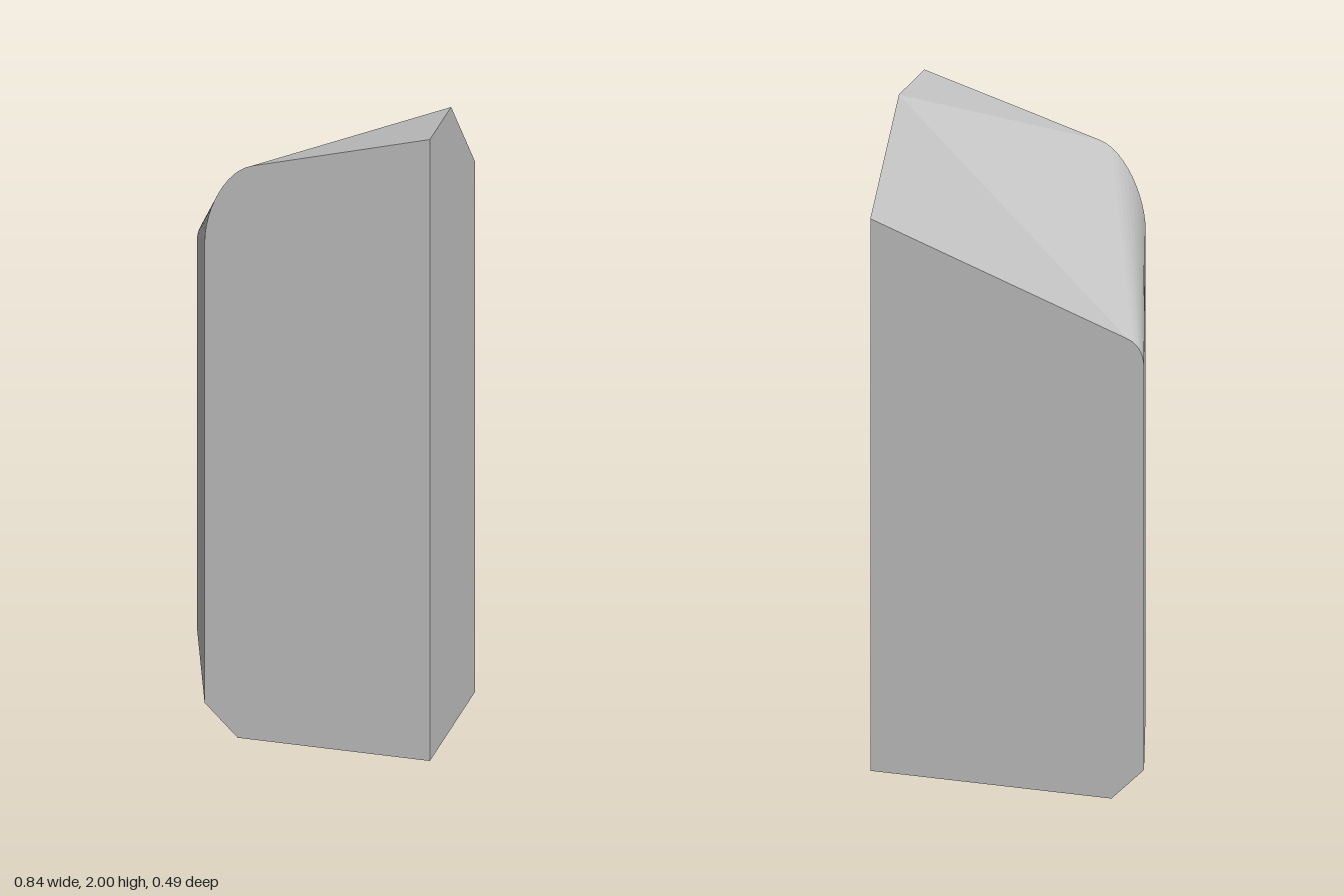
import * as THREE from 'three';

const FRONT = 0.243, BACK = -0.243, RIGHT = 0.42;

// Half outline at one depth, counter-clockwise seen from the front
function profile(z, topY, curve, left) {
  const corner = curve.getPoints(12).map(p => [p.x, p.y, z]);
  return [[RIGHT, 0, z], [RIGHT, topY, z], ...corner, [left, 0.1, z], [left + 0.1, 0, z]];
}

// Bezier corner from the sloping top down into the upright side
function roundCorner(...c) {
  const v = c.map(([x, y]) => new THREE.Vector2(x, y));
  return new THREE.CubicBezierCurve(...v);
}

export function createModel() {
  const group = new THREE.Group();
  const grey = new THREE.MeshStandardMaterial({ color: 0xc0c0c0, flatShading: true });
  grey.name = 'stone grey';

  const front = profile(FRONT, 2,
    roundCorner([-0.12, 1.845], [-0.195, 1.823], [-0.26, 1.69], [-0.26, 1.58]), -0.26);
  const back = profile(BACK, 1.705,
    roundCorner([-0.37, 1.425], [-0.4, 1.414], [-0.42, 1.385], [-0.42, 1.34]), -0.42);
  const ridge = [RIGHT, 2, 0.015];
  const n = front.length;

  const positions = [];
  const fan = (...pts) => {
    for (let i = 1; i < pts.length - 1; i++) positions.push(...pts[0], ...pts[i], ...pts[i + 1]);
  };

  // front and back faces
  fan(...front);
  fan(...back.slice().reverse());
  // upright right face with its clipped top corner
  fan(front[0], back[0], back[1], ridge, front[1]);
  // faceted top
  fan(front[1], ridge, front[2]);
  fan(ridge, back[1], back[2]);
  fan(ridge, back[2], front[2]);
  // rounded shoulder, slanted side, lower bevel and base
  for (let i = 2; i < n; i++) {
    const j = (i + 1) % n;
    fan(front[i], back[i], back[j], front[j]);
  }

  const geometry = new THREE.BufferGeometry();
  geometry.setAttribute('position', new THREE.Float32BufferAttribute(positions, 3));
  geometry.computeVertexNormals();
  const block = new THREE.Mesh(geometry, grey);
  block.name = 'slantedBlock';
  group.add(block);
  return group;
}
